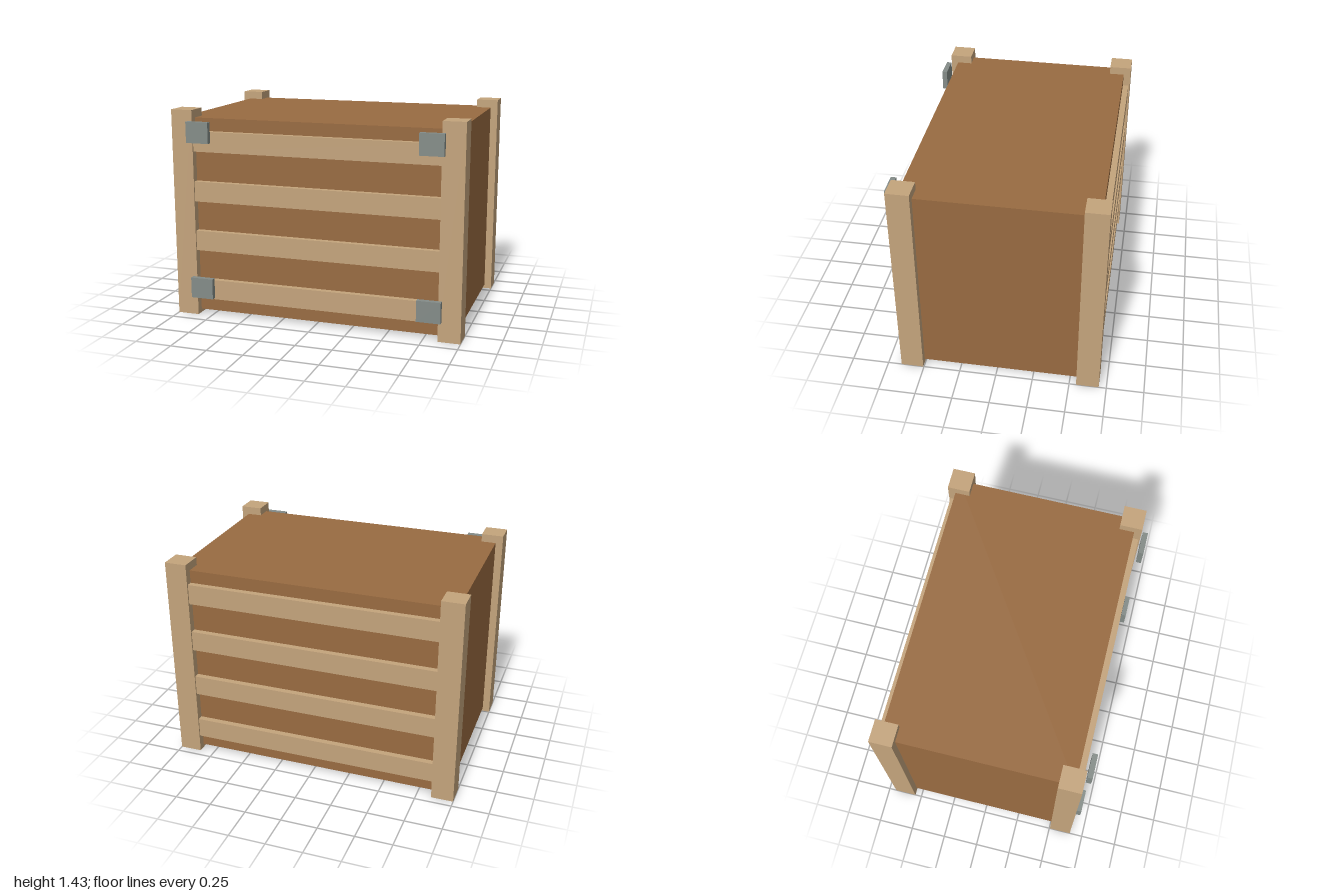
import * as THREE from 'three';

export function createModel() {
  const group = new THREE.Group();
  const mat = (name, color) => {
    const m = new THREE.MeshStandardMaterial({ color });
    m.name = name;
    return m;
  };
  const darkWood = mat('dark wood', 0x996b41);
  const lightWood = mat('light wood', 0xc4a47c);
  const metal = mat('grey metal', 0x848c88);

  const box = (name, material, [w, h, d], [x, y, z]) => {
    const mesh = new THREE.Mesh(new THREE.BoxGeometry(w, h, d), material);
    mesh.name = name;
    mesh.position.set(x, y, z);
    group.add(mesh);
  };

  const midZ = -0.021; // the crate sits slightly back of the brackets

  // Crate body
  box('crateBody', darkWood, [1.9, 1.35, 1.256], [0, 0.7, midZ]);

  for (const end of [1, -1]) {
    const face = end > 0 ? 'front' : 'back';

    // Corner posts
    for (const side of [1, -1]) {
      const name = face + (side > 0 ? 'Left' : 'Right') + 'Post';
      box(name, lightWood, [0.15, 1.43, 0.152], [side * 0.925, 0.715, midZ + end * 0.602]);
    }

    // Horizontal slats between the posts
    for (let i = 0; i < 4; i++) {
      box(face + 'Slat' + (i + 1), lightWood, [1.7, 0.138, 0.04],
        [0, 0.188 + i * 0.3435, midZ + end * 0.648]);
    }
  }

  // Metal corner brackets floating just ahead of the front
  for (const side of [1, -1]) {
    for (const y of [0.207, 1.286]) {
      const name = (y > 1 ? 'upper' : 'lower') + (side > 0 ? 'Left' : 'Right') + 'Bracket';
      box(name, metal, [0.16, 0.142, 0.035], [side * 0.795, y, 0.683]);
    }
  }

  return group;
}
